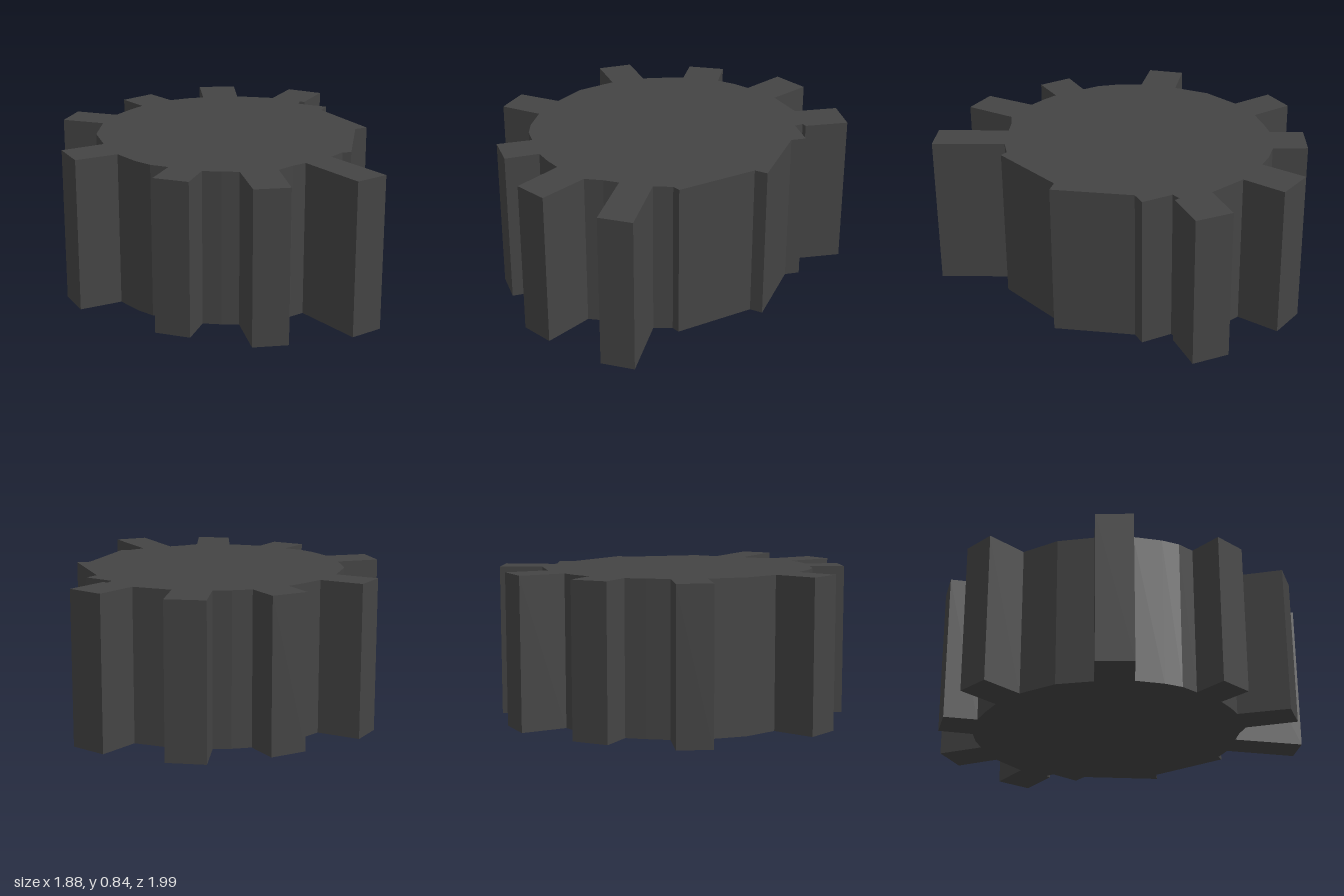
import * as THREE from 'three';

const HEIGHT = 0.84;

// Each tooth: inner start, outer start, outer end, inner end as [x, z].
// 'after' lists the rim points between this tooth and the next one.
const TEETH = [
  { quad: [[-0.25, -0.7], [-0.32, -0.95], [-0.11, -1], [-0.05, -0.76]], after: [] },
  {
    quad: [[0.17, -0.76], [0.24, -0.99], [0.44, -0.93], [0.37, -0.7]],
    // chipped stretch of the rim where a tooth is missing
    after: [[0.34, -0.7], [0.34, -0.65], [0.51, -0.61], [0.49, -0.53], [0.78, -0.2],
      [0.72, -0.16], [0.735, 0.29], [0.69, 0.3]],
  },
  { quad: [[0.64, 0.39], [0.94, 0.65], [0.81, 0.78], [0.52, 0.52]], after: [[0.46, 0.58]] },
  { quad: [[0.4, 0.66], [0.5, 0.93], [0.32, 0.99], [0.21, 0.725]], after: [[0.12, 0.74]] },
  { quad: [[0.02, 0.745], [-0.01, 0.93], [-0.2, 0.9], [-0.16, 0.71]], after: [[-0.26, 0.69], [-0.35, 0.64]] },
  { quad: [[-0.47, 0.54], [-0.66, 0.68], [-0.78, 0.52], [-0.59, 0.37]], after: [[-0.68, 0.19]] },
  { quad: [[-0.7, -0.03], [-0.94, -0.06], [-0.91, -0.25], [-0.67, -0.22]], after: [[-0.62, -0.34]] },
  { quad: [[-0.57, -0.44], [-0.71, -0.56], [-0.58, -0.72], [-0.43, -0.6]], after: [[-0.34, -0.66]] },
];

// Upright prism over a ground outline of [x, z] points
function prism(name, outline, material) {
  const shape = new THREE.Shape(outline.map(([x, z]) => new THREE.Vector2(x, -z)));
  const geometry = new THREE.ExtrudeGeometry(shape, { depth: HEIGHT, bevelEnabled: false });
  geometry.rotateX(-Math.PI / 2);
  const mesh = new THREE.Mesh(geometry, material);
  mesh.name = name;
  return mesh;
}

export function createModel() {
  const group = new THREE.Group();
  group.name = 'gear';
  const material = new THREE.MeshStandardMaterial({ color: 0x444444 });

  // Solid core, its rim running through the roots of the teeth
  const rim = TEETH.flatMap(({ quad, after }) => [quad[0], quad[3], ...after]);
  group.add(prism('gearBody', rim, material));

  // Teeth standing out from the rim
  TEETH.forEach(({ quad }, i) => group.add(prism(`tooth${i + 1}`, quad, material)));

  return group;
}
